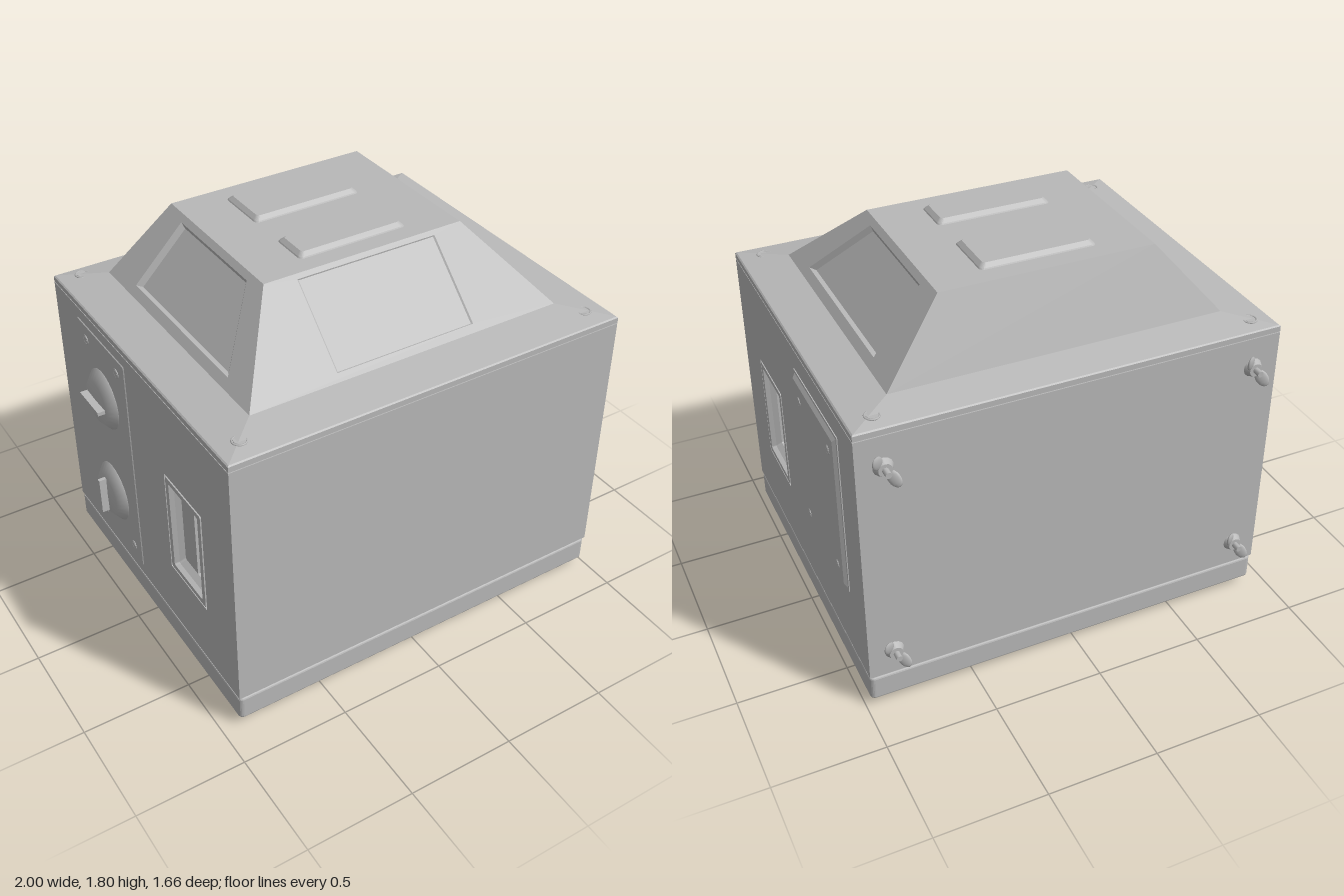
import * as THREE from 'three';

const CX = 0.03, CZ = 0.03, HX = 0.95, HZ = 0.8;

// Flat-sided skin over a list of closed cross-sections, with an optional end cap
function loft(sections, cap = true) {
  const pos = [];
  for (let s = 0; s + 1 < sections.length; s++) {
    const a = sections[s], b = sections[s + 1], n = a.length;
    for (let i = 0; i < n; i++) {
      const j = (i + 1) % n;
      pos.push(...a[i], ...a[j], ...b[j], ...a[i], ...b[j], ...b[i]);
    }
  }
  if (cap) {
    const e = sections[sections.length - 1];
    for (let i = 1; i + 1 < e.length; i++) pos.push(...e[0], ...e[i], ...e[i + 1]);
  }
  const g = new THREE.BufferGeometry();
  g.setAttribute('position', new THREE.Float32BufferAttribute(pos, 3));
  g.computeVertexNormals();
  return g;
}

// Rectangle with optionally rounded corners, placed in space by a mapping
function rect(cu, cv, hu, hv, r, h, map) {
  const pts = [], k = r > 0 ? 5 : 0;
  [[1, 1], [-1, 1], [-1, -1], [1, -1]].forEach(([su, sv], q) => {
    for (let i = 0; i <= k; i++) {
      const a = (q + (k ? i / k : 0)) * Math.PI / 2;
      const du = k ? r * Math.cos(a) : 0, dv = k ? r * Math.sin(a) : 0;
      pts.push(map(cu + su * (hu - r) + du, cv + sv * (hv - r) + dv, h));
    }
  });
  return pts;
}
const flat = (u, v, h) => [u, h, v];
const side = s => (u, v, h) => [CX + s * (HX + h), v, u];

function roundedPath(path, cu, cv, hu, hv, r) {
  return path.setFromPoints(rect(cu, cv, hu, hv, r, 0, (u, v) => new THREE.Vector2(u, v)));
}

export function createModel() {
  const model = new THREE.Group();
  const grey = new THREE.MeshStandardMaterial({ color: 0xb8b8b8, side: THREE.DoubleSide });
  grey.name = 'grey casing';
  const add = (name, geo, x = 0, y = 0, z = 0, parent = model) => {
    const m = new THREE.Mesh(geo, grey);
    m.name = name;
    m.position.set(x, y, z);
    parent.add(m);
    return m;
  };

  // Casing core, with recessed seam fillers above and below
  const wall = 0.11;
  add('casingCore', new THREE.BoxGeometry(2 * (HX - wall), 1.223, 2 * HZ), CX, 0.7865, CZ);
  for (const y of [0.17, 1.4]) add('seam', new THREE.BoxGeometry(2 * HX - 0.024, 0.02, 2 * HZ - 0.024), CX, y, CZ);

  // Side walls with carrying-handle recesses
  for (const s of [1, -1]) {
    const shape = roundedPath(new THREE.Shape(), CZ, 0.7865, HZ, 0.6115, 0);
    shape.holes.push(roundedPath(new THREE.Path(), 0.412, 0.74, 0.163, 0.26, 0.008));
    const g = new THREE.ExtrudeGeometry(shape, { depth: wall, bevelEnabled: false });
    g.rotateY(-Math.PI / 2); // shape x becomes z, depth runs towards -x
    add('sideWall', g, s > 0 ? CX + HX : CX - HX + wall);

    const m = side(s);
    const ring = (hu, hv, h) => rect(0.412, 0.74, hu, hv, 0.008, h, m);
    add('handleFrame', loft([ring(0.155, 0.252, -0.03), ring(0.153, 0.25, 0.001), ring(0.127, 0.226, 0.001),
      ring(0.12, 0.22, -0.02), ring(0.108, 0.2, -0.045), ring(0.108, 0.2, -0.1)]));
    add('handleGrip', new THREE.BoxGeometry(0.06, 0.4, 0.12), CX + s * (HX - 0.075), 0.74, 0.355);
  }

  // Sloping roof rim
  const top = (cx, cz, hx, hz, y, r = 0) => rect(cx, cz, hx, hz, r, y, flat);
  add('roofRim', loft([top(CX, CZ, HX, HZ, 1.402), top(CX, CZ, HX, HZ, 1.427), top(CX, CZ, HX - 0.006, HZ - 0.006, 1.432),
    top(0.03, 0.015, 0.75, 0.625, 1.465)], false));

  // Hump: top, plain back, and three faces with sunken panels
  const base = { x0: -0.72, x1: 0.78, z0: -0.61, z1: 0.64, y: 1.465 };
  const crown = { x0: -0.45, x1: 0.51, z0: -0.49, z1: 0.3, y: 1.785 };
  const corner = (o, x, z) => new THREE.Vector3(o['x' + x], o.y, o['z' + z]);
  const face = (a, b) => [corner(base, ...a), corner(base, ...b), corner(crown, ...b), corner(crown, ...a)];
  const arr = list => list.map(p => p.toArray());
  add('humpTop', loft([arr([corner(crown, 0, 1), corner(crown, 1, 1), corner(crown, 1, 0), corner(crown, 0, 0)])]));
  add('humpBack', loft([arr(face([1, 0], [0, 0]))]));
  const sunkFace = (name, q, uv, depth) => {
    const inward = new THREE.Vector3().crossVectors(q[3].clone().sub(q[0]), q[1].clone().sub(q[0]))
      .normalize().multiplyScalar(depth);
    const at = ([u, t]) => q[0].clone().lerp(q[1], u).lerp(q[3].clone().lerp(q[2], u), t);
    const inner = uv.map(at);
    const mid = inner.reduce((s, p) => s.add(p), new THREE.Vector3()).divideScalar(4);
    const floor = inner.map(p => p.clone().lerp(mid, depth * 4).add(inward));
    add(name, loft([arr(q), arr(inner), arr(floor)]));
  };
  const sidePanel = [[0.15, 0.11], [0.83, 0.11], [0.83, 0.92], [0.15, 0.92]];
  sunkFace('humpRight', face([1, 1], [1, 0]), sidePanel, 0.018);
  sunkFace('humpLeft', face([0, 0], [0, 1]), sidePanel.map(([u, t]) => [1 - u, t]).reverse()
    .map((p, i, l) => l[(i + 2) % 4]), 0.018);
  sunkFace('humpFront', face([0, 1], [1, 1]), [[0.27, 0.08], [0.73, 0.08], [0.84, 0.95], [0.16, 0.95]], 0.005);

  // Raised pads on the hump
  for (const [z, hz] of [[-0.27, 0.13], [0.123, 0.093]]) {
    add('topPad', loft([top(0.03, z, 0.26, hz, 1.785, 0.02), top(0.03, z, 0.257, hz - 0.003, 1.79, 0.02),
      top(0.03, z, 0.24, hz - 0.02, 1.806, 0.015)]));
  }

  // Screws: a rim and a head, facing local +z
  const screw = (r, x, y, z, rx, ry) => {
    const g = new THREE.Group();
    g.name = 'screw';
    add('screwRim', new THREE.TorusGeometry(r, r * 0.16, 6, 16), 0, 0, 0, g);
    add('screwHead', new THREE.CylinderGeometry(r * 0.8, r * 0.9, 0.006, 12).rotateX(Math.PI / 2), 0, 0, 0, g);
    g.position.set(x, y, z);
    g.rotation.set(rx, ry, 0);
    model.add(g);
  };
  for (const x of [-0.815, 0.87]) for (const z of [-0.69, 0.73]) screw(0.03, x, 1.444, z, -Math.PI / 2, 0);

  // Access plate on the +x side
  const plate = (hu, hv, h) => rect(-0.305, 0.905, hu, hv, 0, h, side(1));
  add('accessPlate', loft([plate(0.275, 0.395, 0), plate(0.275, 0.395, 0.004), plate(0.262, 0.382, 0.004),
    plate(0.25, 0.365, 0.017)]));
  for (const z of [-0.12, -0.49]) for (const y of [0.6, 1.19]) screw(0.018, CX + HX + 0.017, y, z, 0, Math.PI / 2);

  // Control panel with two dials on the -x side
  const control = (hu, hv, h) => rect(-0.3, 0.785, hu, hv, 0.01, h, side(-1));
  add('controlPanel', loft([control(0.235, 0.56, 0), control(0.232, 0.557, 0.004)]));
  for (const z of [-0.45, -0.145]) for (const y of [0.3, 1.27]) screw(0.02, CX - HX - 0.005, y, z, 0, -Math.PI / 2);
  [1.035, 0.51].forEach((y, i) => {
    const dial = new THREE.Group();
    dial.name = 'dial';
    const profile = [[0.145, 0], [0.143, 0.008], [0.1, 0.045], [0, 0.047]].map(p => new THREE.Vector2(...p));
    add('dialSkirt', new THREE.LatheGeometry(profile, 28).rotateZ(Math.PI / 2).toNonIndexed(), 0, 0, 0, dial);
    add('dialGrip', new THREE.BoxGeometry(0.06, 0.018, 0.185), -0.05, 0, 0, dial);
    dial.position.set(CX - HX, y, -0.31);
    dial.rotation.x = i * Math.PI / 2;
    model.add(dial);
  });

  // Wing nuts on the back
  for (const x of [-0.8, 0.865]) for (const y of [0.3, 1.255]) {
    const nut = new THREE.Group();
    nut.name = 'wingNut';
    add('nutBase', new THREE.CylinderGeometry(0.03, 0.045, 0.03, 14).rotateX(-Math.PI / 2), 0, 0, -0.012, nut);
    add('nutStud', new THREE.CylinderGeometry(0.014, 0.014, 0.05, 10).rotateX(-Math.PI / 2), 0, 0, -0.038, nut);
    for (const s of [1, -1]) {
      const wing = add('nutWing', new THREE.SphereGeometry(1, 12, 8), s * 0.055, 0, -0.03, nut);
      wing.scale.set(0.042, 0.028, 0.009);
      wing.rotation.set(0.4 * s, s * 0.45, 0);
    }
    nut.position.set(x, y, CZ - HZ);
    nut.rotation.z = 0.95;
    model.add(nut);
  }

  // Face frame underneath, with a rounded screen opening
  const frame = roundedPath(new THREE.Shape(), CX, CZ, HX - 0.008, HZ - 0.008, 0.015);
  frame.holes.push(roundedPath(new THREE.Path(), CX, CZ, 0.74, 0.575, 0.2));
  add('screenFrame', new THREE.ExtrudeGeometry(frame, {
    depth: 0.099, bevelThickness: 0.008, bevelSize: 0.008, bevelSegments: 2,
  }).rotateX(Math.PI / 2), 0, 0.157);
  const lip = (d, y) => top(CX, CZ, 0.775 - d, 0.61 - d, y, 0.21 - d);
  add('frameBead', loft([lip(0, 0.051), lip(0.004, 0.046), lip(0.01, 0.046), lip(0.014, 0.051)], false));

  // Bulging screen
  const screen = new THREE.PlaneGeometry(1.5, 1.17, 28, 22).rotateX(Math.PI / 2);
  const p = screen.attributes.position;
  for (let i = 0; i < p.count; i++) {
    const h = 0.05 * ((p.getX(i) / 0.5) ** 2 + (p.getZ(i) / 0.365) ** 2);
    p.setY(i, Math.min(h, 0.158));
  }
  screen.computeVertexNormals();
  add('screen', screen, CX, 0.002, CZ);

  // Small buttons and slot on the frame edge
  for (let i = 0; i < 3; i++) add('button', new THREE.BoxGeometry(0.035, 0.01, 0.03), 0.78 - i * 0.055, 0.048, -0.675);
  add('indicatorStrip', new THREE.BoxGeometry(0.3, 0.008, 0.03), 0.46, 0.049, -0.675);
  return model;
}
